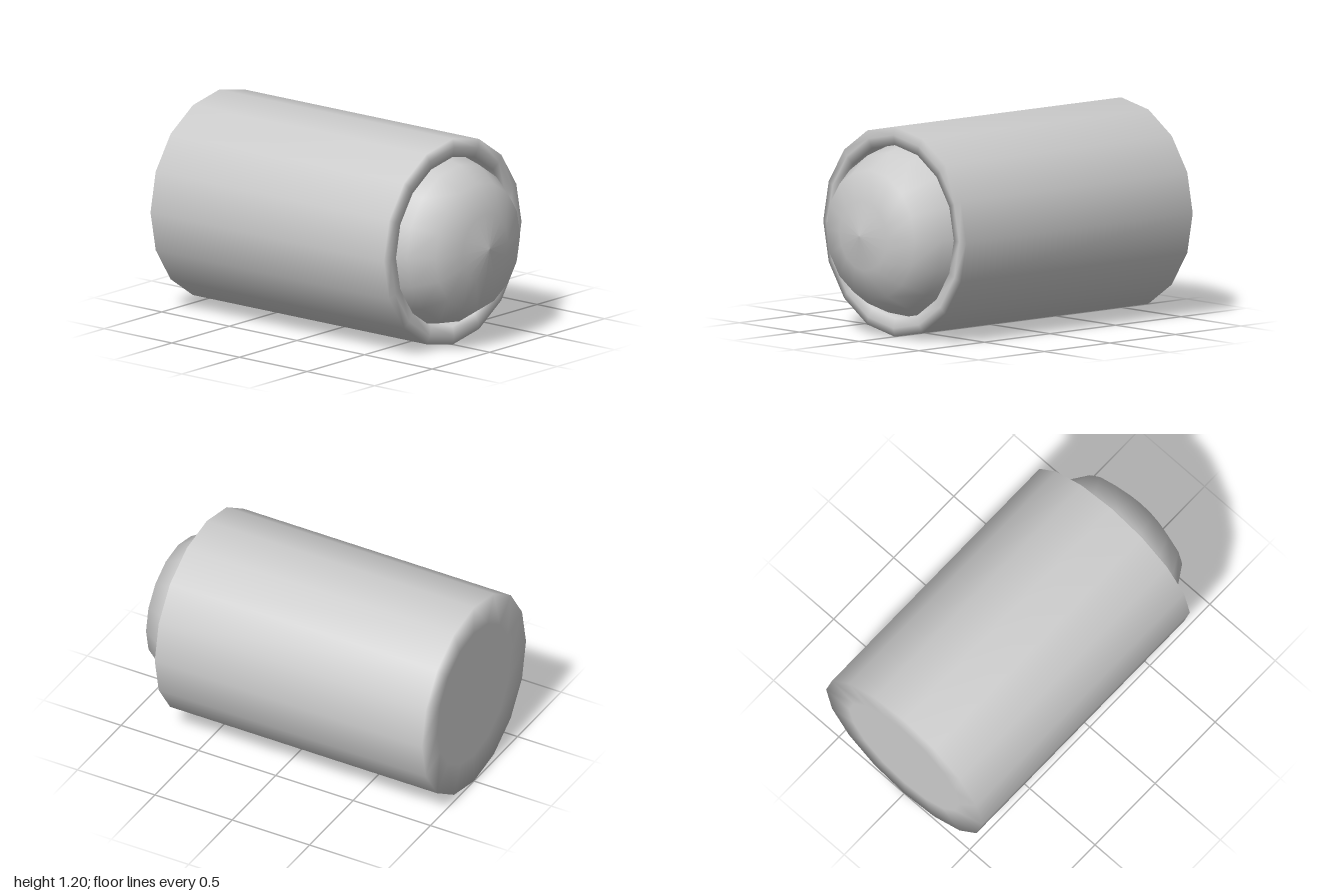
import * as THREE from 'three';

const RADIUS = 0.598;
const SIDES = 16;

// Revolve a [radius, z] profile around the z axis
function revolve(name, profile, material) {
  const points = profile.map(([r, z]) => new THREE.Vector2(r, z));
  const geometry = new THREE.LatheGeometry(points, SIDES);
  geometry.rotateX(Math.PI / 2);
  const mesh = new THREE.Mesh(geometry, material);
  mesh.name = name;
  mesh.position.y = RADIUS;
  return mesh;
}

export function createModel() {
  const group = new THREE.Group();
  group.name = 'domedCylinder';
  const material = new THREE.MeshStandardMaterial({ color: 0xcccccc, side: THREE.DoubleSide });

  // Closed back, straight side, softly bevelled rim and inner wall
  group.add(revolve('housing', [
    [0, -1], [0.42, -1], [RADIUS, -1],
    [RADIUS, 0.727], [0.55, 0.738], [0.493, 0.727], [0.493, 0.62],
  ], material));

  // Bulging front dome seated inside the rim
  group.add(revolve('dome', [
    [0.493, 0.62], [0.455, 0.776], [0.368, 0.913], [0.198, 0.968], [0, 1],
  ], material));

  return group;
}
